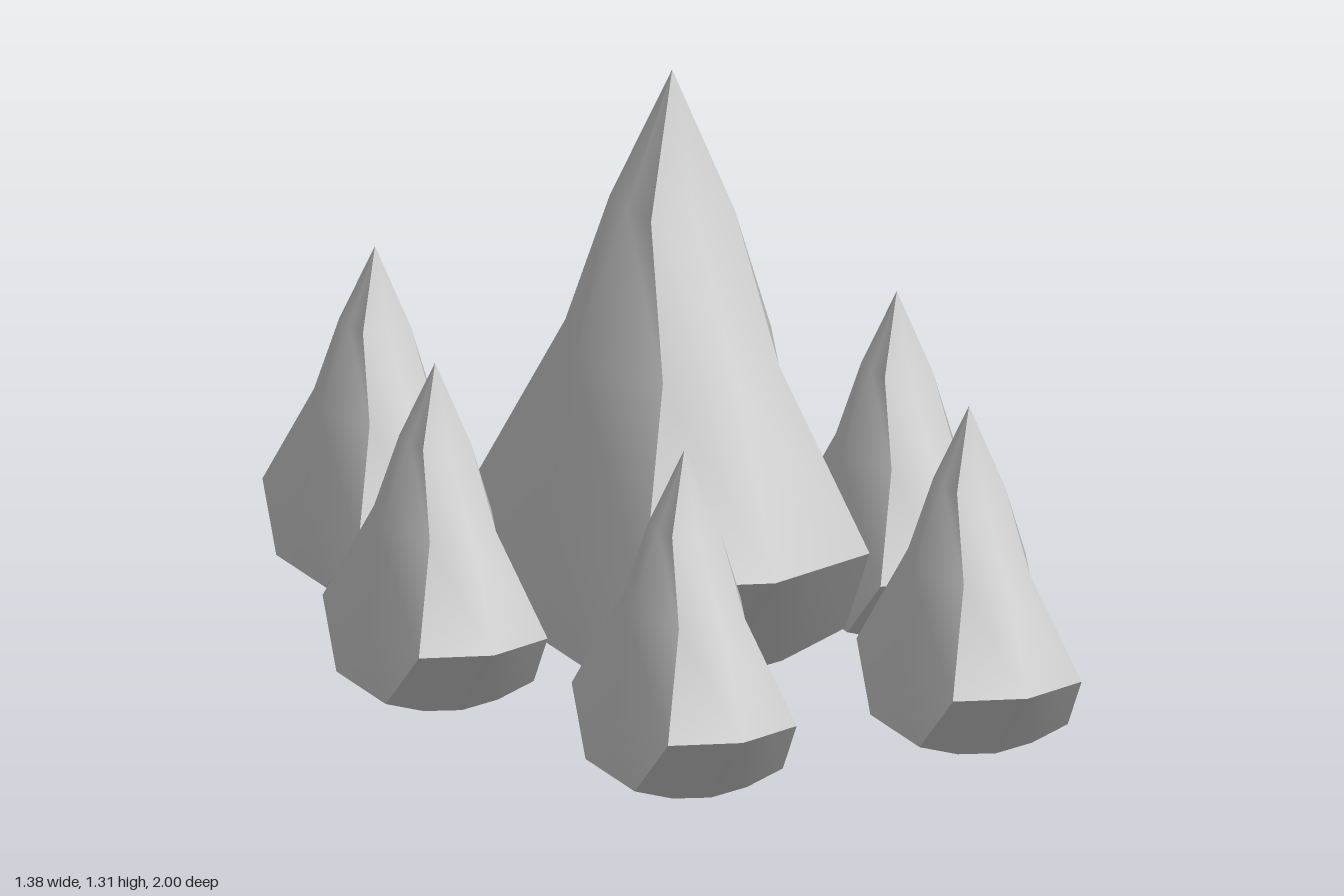
import * as THREE from 'three';

const material = new THREE.MeshStandardMaterial({ color: 0xcccccc });

// Smooth surface through rows of points (top to bottom, left to right as seen from outside)
function patch(rows) {
  const cols = rows[0].length;
  const index = [];
  for (let r = 0; r < rows.length - 1; r++) {
    for (let c = 0; c < cols - 1; c++) {
      const a = r * cols + c, b = a + cols;
      index.push(a, b, b + 1, a, b + 1, a + 1);
    }
  }
  const geometry = new THREE.BufferGeometry();
  geometry.setAttribute('position', new THREE.Float32BufferAttribute(rows.flat(2), 3));
  geometry.setIndex(index);
  geometry.computeVertexNormals();
  return geometry;
}

// Levels of the crystal: height, corner x, corner z, bulge in x, bulge in z
const levels = [
  { y: 0.745, cx: 0, cz: 0, mx: 0, mz: 0 },
  { y: 0.582, cx: 0.054, cz: 0.055, mx: 0.058, mz: 0.062 },
  { y: 0.41, cx: 0.075, cz: 0.13, mx: 0.128, mz: 0.178 },
  { y: 0.198, cx: 0.146, cz: 0.225, mx: 0.155, mz: 0.275 },
];
const foot = { x: 0.168, y: 0.07, z: 0.115, mz: 0.125 };
const shoulder = levels[3];

// Broad upper face, facing +z
const upperFace = patch(levels.map(({ y, cx, cz, mz }) => [[-cx, y, cz], [0, y, mz], [cx, y, cz]]));

// Narrow flank, facing +x, running down to the foot
const flankFace = patch([
  ...levels.map(({ y, cx, cz, mx }) => [[cx, y, cz], [mx, y, 0], [cx, y, -cz]]),
  [[foot.x, foot.y, foot.z], [foot.x, foot.y, 0], [foot.x, foot.y, -foot.z]],
]);

// Undercut below the shoulder, and the shallow rounded base
const steps = [-1, -0.5, 0, 0.5, 1];
const baseEdge = (side) => steps.map((t) => {
  const a = Math.abs(t);
  return [t * foot.x, 0.035 + 0.035 * a * a, side * THREE.MathUtils.lerp(foot.mz, foot.z, a)];
});
const underFace = patch([
  steps.map((t) => [t * shoulder.cx, shoulder.y, THREE.MathUtils.lerp(shoulder.mz, shoulder.cz, Math.abs(t))]),
  baseEdge(1),
]);
const baseFace = patch([
  baseEdge(1),
  steps.map((t) => [t * foot.x, foot.y * t * t, 0]),
  baseEdge(-1),
]);

function crystal(name, x, y, z, scale) {
  const group = new THREE.Group();
  group.name = name;
  const add = (part, geometry, turn) => {
    const mesh = new THREE.Mesh(geometry, material);
    mesh.name = part;
    mesh.rotation.y = turn;
    group.add(mesh);
  };
  // Opposite faces are half a turn apart
  for (const turn of [0, Math.PI]) {
    add('upperFace', upperFace, turn);
    add('flankFace', flankFace, turn);
    add('underFace', underFace, turn);
  }
  add('base', baseFace, 0);
  group.position.set(x, y, z);
  group.scale.setScalar(scale);
  return group;
}

export function createModel() {
  const model = new THREE.Group();
  model.name = 'crystalCluster';
  model.add(crystal('centreCrystal', 0.013, 0.003, -0.008, 1.755));

  // Ring of six small crystals
  const ring = [
    ['frontLeftCrystal', 0.333, 0.72],
    ['frontRightCrystal', -0.313, 0.72],
    ['leftCrystal', 0.52, -0.003],
    ['rightCrystal', -0.527, -0.003],
    ['backLeftCrystal', 0.333, -0.725],
    ['backRightCrystal', -0.313, -0.725],
  ];
  for (const [name, x, z] of ring) model.add(crystal(name, x, 0.015, z, 1));
  return model;
}
